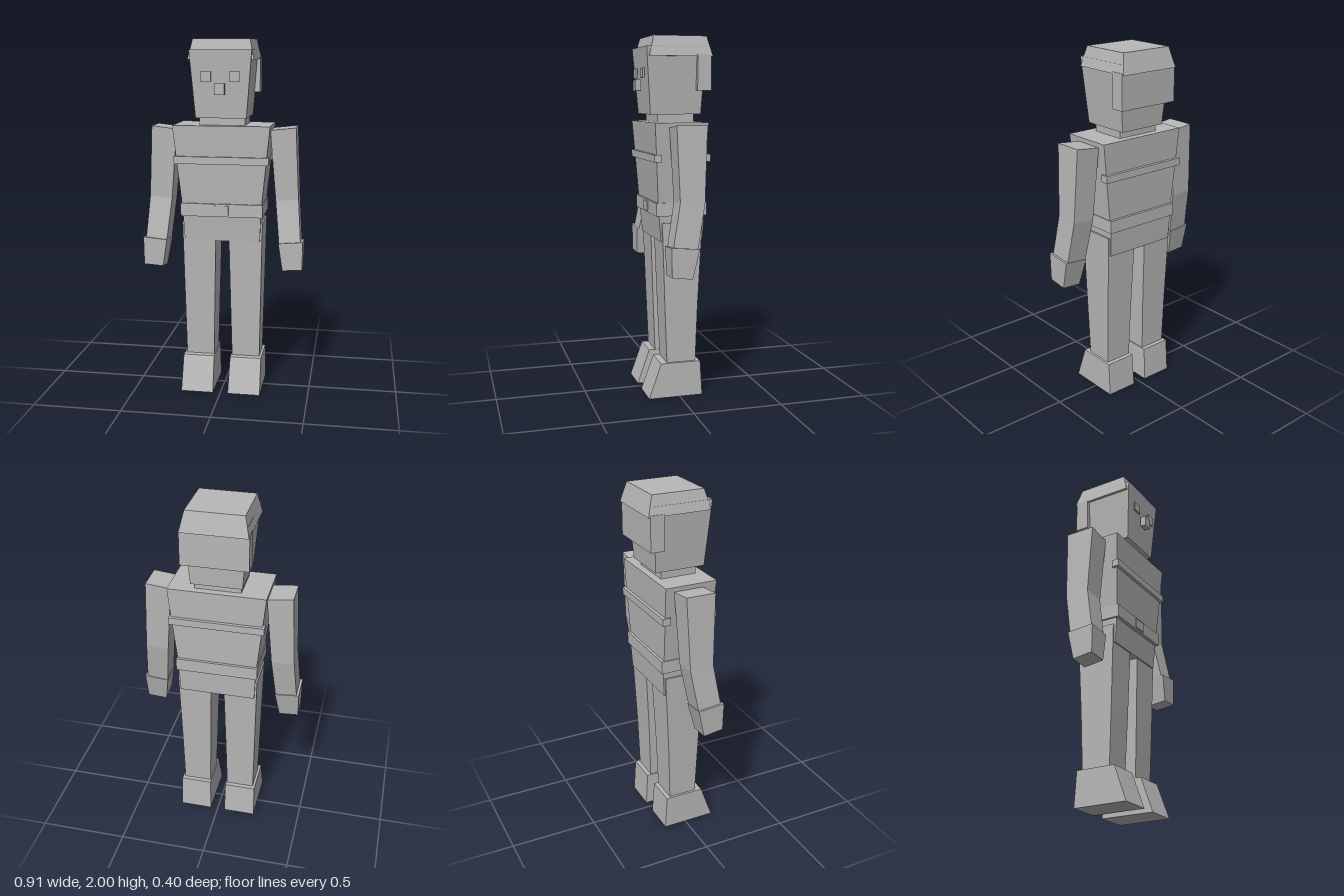
import * as THREE from 'three';

const grey = new THREE.MeshStandardMaterial({ color: 0xb8b8b8 });
grey.name = 'plain grey';

// Closed solid through rectangular sections listed bottom to top:
// [y, x0, x1, z0, z1, slope of y along x, slope of y along z]
function loft(name, sections) {
  const rings = sections.map(([y, x0, x1, z0, z1, sx = 0, sz = 0]) =>
    [[x0, z1], [x1, z1], [x1, z0], [x0, z0]].map(([x, z]) =>
      [x, y + sx * (x - (x0 + x1) / 2) + sz * (z - (z0 + z1) / 2), z]));
  const pos = [];
  const quad = (a, b, c, d) => pos.push(...a, ...b, ...c, ...a, ...c, ...d);
  for (let i = 0; i < rings.length - 1; i++) {
    for (let k = 0; k < 4; k++) {
      const n = (k + 1) % 4;
      quad(rings[i][k], rings[i][n], rings[i + 1][n], rings[i + 1][k]);
    }
  }
  const lo = rings[0], hi = rings[rings.length - 1];
  quad(hi[0], hi[1], hi[2], hi[3]);
  quad(lo[3], lo[2], lo[1], lo[0]);
  const geo = new THREE.BufferGeometry();
  geo.setAttribute('position', new THREE.Float32BufferAttribute(pos, 3));
  geo.computeVertexNormals();
  const mesh = new THREE.Mesh(geo, grey);
  mesh.name = name;
  return mesh;
}

// Section centred on x = 0
const mid = (y, half, z0, z1) => [y, -half, half, z0, z1];

// Straight block between two heights
const block = (name, x0, x1, y0, y1, z0, z1) =>
  loft(name, [[y0, x0, x1, z0, z1], [y1, x0, x1, z0, z1]]);

// Loft given for the +x side, mirrored to the other side when s = -1
function sided(name, s, sections) {
  return loft((s > 0 ? 'left' : 'right') + name, sections.map(
    ([y, a, b, z0, z1, sx = 0, sz = 0]) =>
      s > 0 ? [y, a, b, z0, z1, sx, sz] : [y, -b, -a, z0, z1, -sx, sz]));
}

export function createModel() {
  const model = new THREE.Group();
  model.name = 'blockFigure';

  // Head, neck and hair
  model.add(
    loft('head', [mid(1.577, 0.14, -0.143, 0.143), mid(1.942, 0.17, -0.165, 0.17)]),
    block('neck', -0.127, 0.127, 1.52, 1.59, -0.107, 0.1),
    loft('hairCap', [mid(1.89, 0.181, -0.2, 0.157), mid(2, 0.156, -0.17, 0.128)]),
    block('backHair', -0.183, 0.183, 1.705, 1.9, -0.19, -0.112),
    block('nose', -0.028, 0.028, 1.705, 1.765, 0.168, 0.2)
  );

  // Torso, belt and hips
  model.add(
    loft('torso', [mid(1.025, 0.217, -0.135, 0.118), mid(1.535, 0.27, -0.148, 0.15)]),
    block('belt', -0.23, 0.23, 1.028, 1.1, -0.152, 0.134),
    block('beltBuckle', -0.04, 0.04, 1.037, 1.091, 0.125, 0.14),
    loft('hips', [mid(0.884, 0.213, -0.132, 0.104), mid(1.04, 0.22, -0.14, 0.118)]),
    block('frontChestStrap', -0.264, 0.264, 1.324, 1.365, 0.112, 0.154),
    block('backChestStrap', -0.264, 0.264, 1.324, 1.365, -0.162, -0.116)
  );

  for (const s of [1, -1]) {
    model.add(
      sided('Eye', s, [
        [1.775, 0.049, 0.108, 0.168, 0.177],
        [1.828, 0.049, 0.108, 0.168, 0.177]]),
      // Legs taper down through the knee
      sided('Leg', s, [
        [0.19, 0.053, 0.212, -0.095, 0.07],
        [0.51, 0.046, 0.218, -0.105, 0.083],
        [0.99, 0.036, 0.227, -0.128, 0.1]]),
      sided('Foot', s, [
        [0, 0.043, 0.228, -0.132, 0.177],
        [0.197, 0.047, 0.226, -0.12, 0.107]]),
      // Arms hang outward and bend forward at the elbow
      sided('Arm', s, [
        [0.87, 0.321, 0.441, -0.036, 0.099, 0.09, 0.09],
        [1.115, 0.296, 0.423, -0.08, 0.056, 0.08, 0.05],
        [1.516, 0.263, 0.404, -0.097, 0.07, 0.11, 0]]),
      sided('Hand', s, [
        [0.722, 0.342, 0.452, -0.006, 0.108, 0.07, 0.13],
        [0.88, 0.318, 0.454, -0.042, 0.111, 0.09, 0.09]])
    );
  }
  return model;
}
